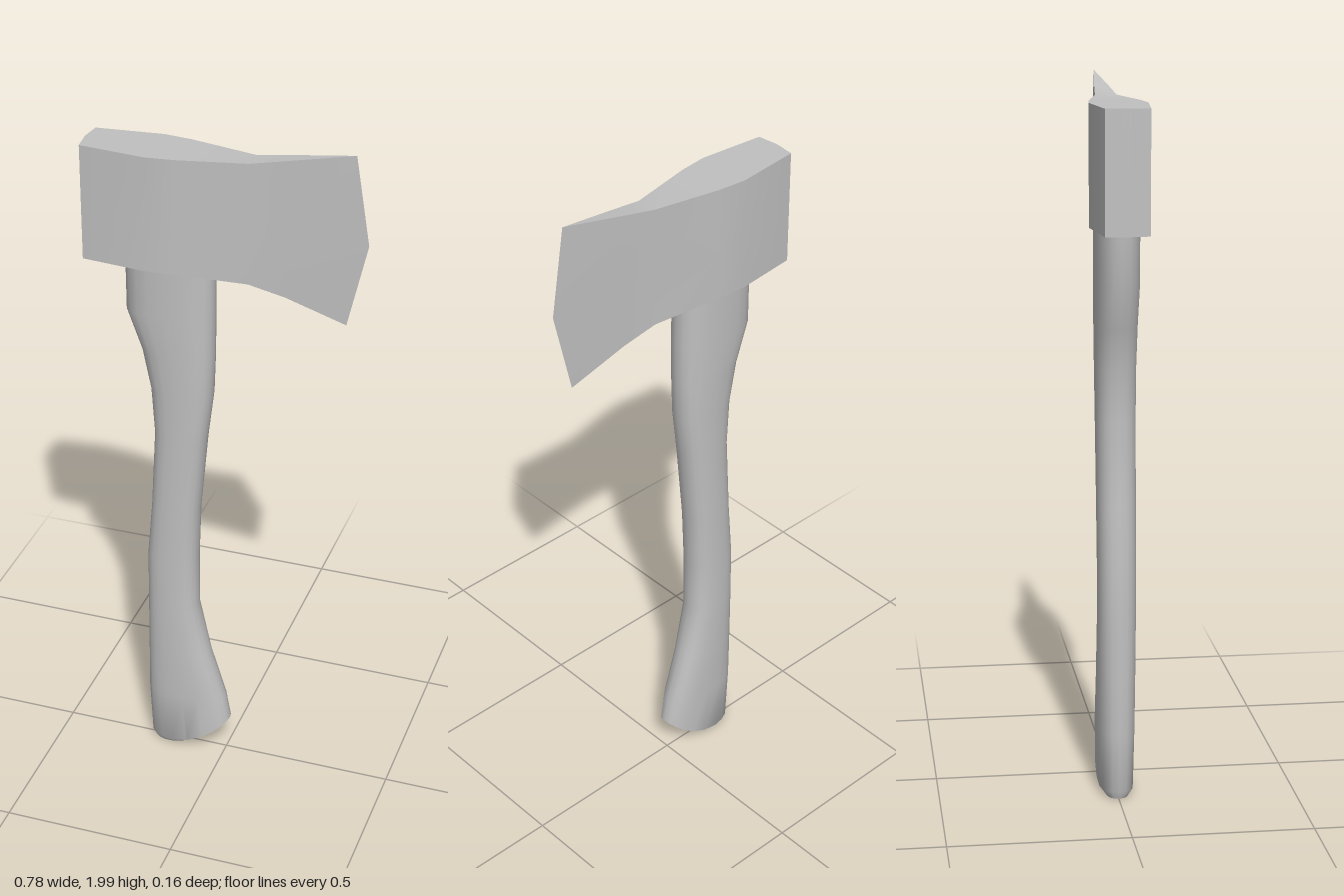
import * as THREE from 'three';
import { toCreasedNormals } from 'three/addons/utils/BufferGeometryUtils.js';

// Collects quads (corners counter-clockwise seen from outside) and drops collapsed triangles
function makeSurface() {
  const pos = [];
  const tri = (a, b, c) => {
    const n = b.clone().sub(a).cross(c.clone().sub(a));
    if (n.length() > 1e-9) for (const p of [a, b, c]) pos.push(p.x, p.y, p.z);
  };
  const quad = (a, b, c, d) => { tri(a, b, c); tri(a, c, d); };
  const build = (angle) => {
    const g = new THREE.BufferGeometry();
    g.setAttribute('position', new THREE.Float32BufferAttribute(pos, 3));
    return toCreasedNormals(g, angle);
  };
  return { tri, quad, build };
}

// Head: stations from the poll to the cutting edge, three rows each
function headGeometry() {
  // [x bottom, x middle, x top, half thickness, y bottom, y top]
  const stations = [
    [-0.388, -0.388, -0.388, 0.06, 1.62, 1.95],
    [-0.2, -0.2, -0.2, 0.079, 1.62, 1.95],
    [-0.12, -0.12, -0.12, 0.07, 1.619, 1.95],
    [0.07, 0.07, 0.07, 0.03, 1.602, 1.95],
    [0.17, 0.18, 0.17, 0.02, 1.575, 1.968],
    [0.335, 0.39, 0.35, 0, 1.51, 2.0],
  ];
  const point = (s, row, side) => new THREE.Vector3(s[row], [s[4], 1.75, s[5]][row], s[3] * side);
  const S = makeSurface();
  for (let i = 0; i < stations.length - 1; i++) {
    const a = stations[i], b = stations[i + 1];
    // cheeks
    for (let r = 0; r < 2; r++) {
      S.quad(point(a, r, 1), point(b, r, 1), point(b, r + 1, 1), point(a, r + 1, 1));
      S.quad(point(b, r, -1), point(a, r, -1), point(a, r + 1, -1), point(b, r + 1, -1));
    }
    // top and underside
    S.quad(point(a, 2, 1), point(b, 2, 1), point(b, 2, -1), point(a, 2, -1));
    S.quad(point(a, 0, -1), point(b, 0, -1), point(b, 0, 1), point(a, 0, 1));
  }
  // slightly bowed poll face
  const p = stations[0];
  const low = new THREE.Vector3(-0.395, p[4], 0), high = new THREE.Vector3(-0.395, p[5], 0);
  S.quad(point(p, 0, -1), low, high, point(p, 2, -1));
  S.quad(low, point(p, 0, 1), point(p, 2, 1), high);
  S.tri(point(p, 2, -1), high, point(p, 2, 1));
  S.tri(point(p, 0, 1), low, point(p, 0, -1));
  return S.build(0.6);
}

// Handle: rounded cross-sections, tilted near the flared foot
function handleGeometry() {
  // [x back, y back, x front, y front, half thickness, downward bow]
  const rings = [
    [-0.225, 0.012, -0.012, 0.104, 0.036, 0.033],
    [-0.233, 0.035, 0.012, 0.122, 0.05, 0.04],
    [-0.24, 0.2, -0.003, 0.2, 0.053, 0],
    [-0.238, 0.35, -0.05, 0.35, 0.053, 0],
    [-0.236, 0.52, -0.087, 0.52, 0.053, 0],
    [-0.235, 0.68, -0.086, 0.68, 0.053, 0],
    [-0.22, 0.85, -0.08, 0.85, 0.054, 0],
    [-0.207, 1.09, -0.057, 1.09, 0.055, 0],
    [-0.216, 1.23, -0.039, 1.23, 0.056, 0],
    [-0.24, 1.35, -0.034, 1.35, 0.058, 0],
    [-0.284, 1.47, -0.032, 1.47, 0.06, 0],
    [-0.285, 1.7, -0.032, 1.7, 0.06, 0],
  ];
  const sides = 20;
  const soften = (v) => Math.sign(v) * Math.pow(Math.abs(v), 0.8);
  const point = ([xb, yb, xf, yf, h, bow], k) => {
    const a = (k / sides) * Math.PI * 2;
    const u = soften(Math.cos(a)), t = (u + 1) / 2;
    return new THREE.Vector3(
      xb + (xf - xb) * t,
      yb + (yf - yb) * t - bow * (1 - u * u),
      -h * soften(Math.sin(a)));
  };
  const S = makeSurface();
  const half = sides / 2;
  for (let i = 0; i < rings.length - 1; i++) {
    for (let k = 0; k < sides; k++) {
      S.quad(point(rings[i], k), point(rings[i], k + 1), point(rings[i + 1], k + 1), point(rings[i + 1], k));
    }
  }
  // end caps, bridged across the thickness
  const foot = rings[0], top = rings[rings.length - 1];
  for (let k = 0; k < half; k++) {
    const m = sides - k;
    S.quad(point(foot, k), point(foot, m), point(foot, m - 1), point(foot, k + 1));
    S.quad(point(top, k), point(top, k + 1), point(top, m - 1), point(top, m));
  }
  return S.build(0.9);
}

export function createModel() {
  const group = new THREE.Group();
  group.name = 'hatchet';
  const grey = new THREE.MeshStandardMaterial({ color: 0xc0c0c0 });
  grey.name = 'light grey';

  const head = new THREE.Mesh(headGeometry(), grey);
  head.name = 'head';
  const handle = new THREE.Mesh(handleGeometry(), grey);
  handle.name = 'handle';
  group.add(head, handle);
  return group;
}
